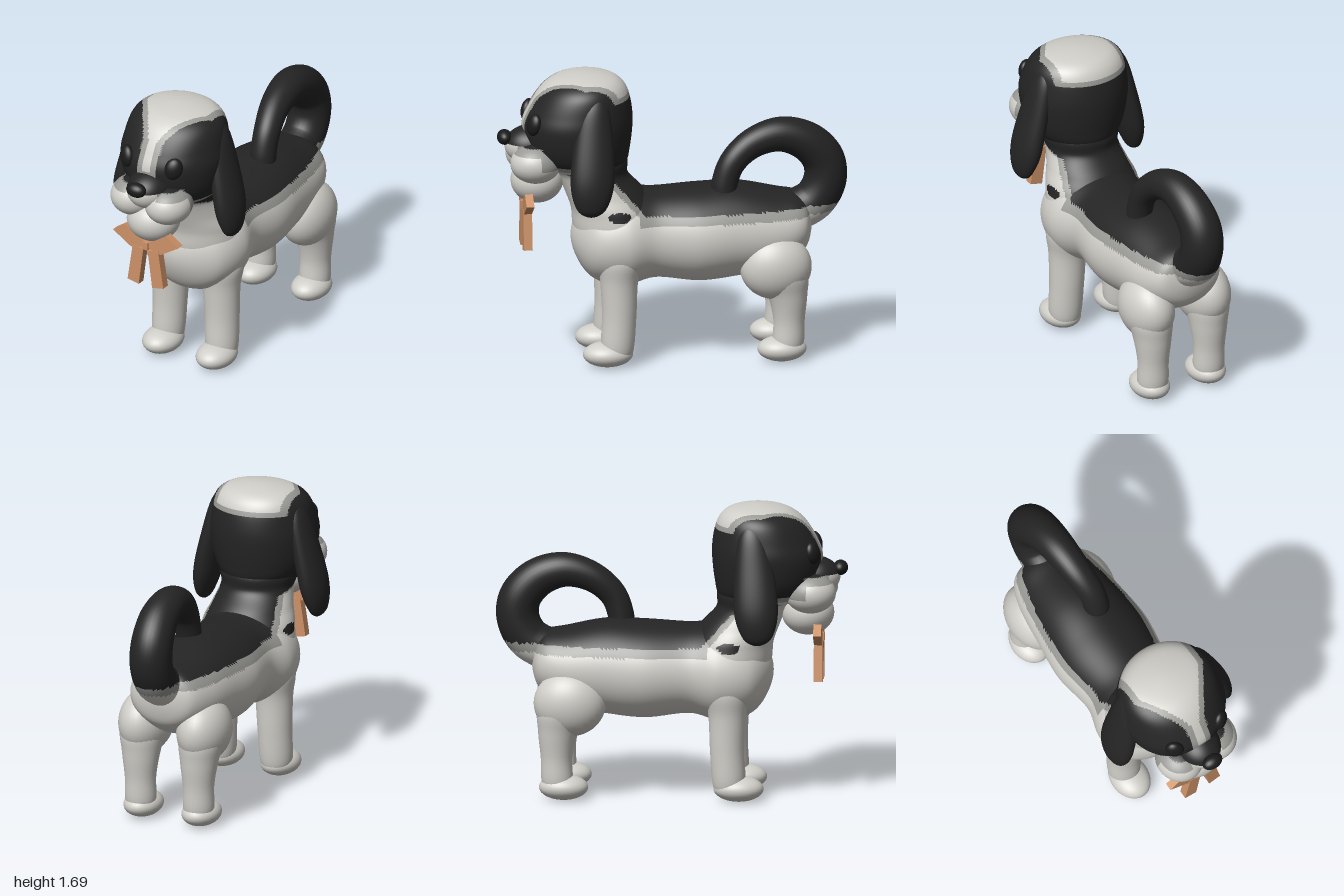
import * as THREE from 'three';

const mat = (name, color) => Object.assign(new THREE.MeshStandardMaterial({ color }), { name });
const white = mat('white fur', 0xd0cec8);
const grey = mat('grey fur', 0x989894);
const black = mat('black fur', 0x242424);
const gloss = mat('eye and nose black', 0x1b1b1b);
const tan = mat('tan ribbon', 0xcd9268);
const COAT = [white, grey, black];
const W = 0, G = 1, B = 2;

// Smooth closed form through elliptical sections [x, y, z, radiusX, radiusOther], along y or z.
function loft(sections, axis, rows = 64, sides = 56) {
  const centres = new THREE.CatmullRomCurve3(sections.map(s => new THREE.Vector3(s[0], s[1], s[2])), false, 'catmullrom');
  const radii = new THREE.CatmullRomCurve3(sections.map(s => new THREE.Vector3(s[3] ** 2, s[4] ** 2, 0)), false, 'catmullrom');
  const pos = [], idx = [];
  for (let i = 0; i <= rows; i++) {
    const t = (1 - Math.cos(Math.PI * i / rows)) / 2;
    const c = centres.getPoint(t), r = radii.getPoint(t);
    const a = Math.sqrt(Math.max(0, r.x)), b = Math.sqrt(Math.max(0, r.y));
    for (let j = 0; j < sides; j++) {
      const th = j / sides * Math.PI * 2, u = a * Math.cos(th), v = b * Math.sin(th);
      if (axis === 'y') pos.push(c.x + u, c.y, c.z + v);
      else pos.push(c.x + u, c.y - v, c.z);
      if (i < rows) {
        const p = i * sides + j, q = i * sides + (j + 1) % sides;
        idx.push(p, p + sides, q, q, p + sides, q + sides);
      }
    }
  }
  const g = new THREE.BufferGeometry();
  g.setAttribute('position', new THREE.Float32BufferAttribute(pos, 3));
  g.setIndex(idx);
  g.computeVertexNormals();
  return g;
}

function ellipsoid(x, y, z, rx, ry, rz, seg = 32) {
  return new THREE.SphereGeometry(1, seg, Math.round(seg * 0.7)).scale(rx, ry, rz).translate(x, y, z);
}

// Sorts the faces into coat colours by the position of their centres.
function paint(g, rule) {
  const p = g.attributes.position, src = g.index.array, bins = [[], [], []];
  for (let i = 0; i < src.length; i += 3) {
    const [a, b, c] = [src[i], src[i + 1], src[i + 2]];
    const mid = k => (p[k](a) + p[k](b) + p[k](c)) / 3;
    bins[rule(Math.abs(mid('getX')), mid('getY'), mid('getZ'))].push(a, b, c);
  }
  g.setIndex(bins.flat());
  g.clearGroups();
  let start = 0;
  bins.forEach((bin, m) => {
    if (bin.length) g.addGroup(start, bin.length, m);
    start += bin.length;
  });
  return g;
}

// Dark saddle, grey border and shoulder spot
function bodyCoat(x, y, z) {
  if (((z - 0.33) / 0.065) ** 2 + ((y - 0.9) / 0.03) ** 2 < 1) return B;
  const edge = 0.17 + Math.max(0, y - 0.89) * 0.9 + Math.max(0, y - 1.08) * 4;
  if (z < edge && y > 0.89) return B;
  return z < edge + 0.04 && y > 0.84 ? G : W;
}

// Dark mask, pale crown with a blaze, pale muzzle
function headCoat(x, y, z) {
  const taper = THREE.MathUtils.clamp((z - 0.52) / 0.26, 0, 1);
  const half = 0.235 - 0.17 * taper;
  const floor = z > 0.6 ? 1.37 : z > 0.4 ? 1.6 : 1.56;
  if (y > floor && x < half) return x < half - 0.035 && y > floor + 0.03 ? W : G;
  if ((y < 1.3 && z > 0.76 && x < 0.25) || (y < 1.19 && z > 0.5)) {
    return (y < 1.26 && z > 0.8) || y < 1.16 ? W : G;
  }
  return B;
}

function muzzleCoat(x, y, z) {
  if (y > 1.3) return B;
  if ((y > 1.26 && x > 0.1) || (y > 1.18 && z < 0.77)) return G;
  return W;
}

const tailCoat = (x, y) => (y > 0.89 ? B : y > 0.84 ? G : W);

// Curled tail with a changing thickness
function tailGeometry() {
  const path = new THREE.CatmullRomCurve3([
    [0, 0.82, -0.68], [0, 0.9, -0.82], [0, 1.02, -0.88], [0, 1.14, -0.865], [0.01, 1.245, -0.77],
    [0.02, 1.293, -0.62], [0.035, 1.25, -0.46], [0.055, 1.15, -0.345], [0.06, 1.04, -0.3], [0.06, 0.93, -0.29],
  ].map(p => new THREE.Vector3(...p)));
  const rings = 110, sides = 32, g = new THREE.TubeGeometry(path, rings, 1, sides);
  const p = g.attributes.position, v = new THREE.Vector3();
  for (let i = 0; i <= rings; i++) {
    const t = i / rings, c = path.getPointAt(t);
    const r = 0.122 - 0.047 * THREE.MathUtils.smoothstep(t, 0.25, 0.9);
    for (let j = 0; j <= sides; j++) {
      const k = i * (sides + 1) + j;
      v.fromBufferAttribute(p, k).sub(c).multiplyScalar(r).add(c);
      p.setXYZ(k, v.x, v.y, v.z);
    }
  }
  return g;
}

// Flat ribbon piece from an outline
function ribbon(points, z, depth) {
  const shape = new THREE.Shape(points.map(p => new THREE.Vector2(...p)));
  return new THREE.ExtrudeGeometry(shape, { depth, bevelEnabled: false }).translate(0, 0, z);
}

export function createModel() {
  const dog = new THREE.Group();
  dog.name = 'dog';
  const add = (name, geometry, material) => {
    const m = new THREE.Mesh(geometry, material);
    m.name = name;
    dog.add(m);
    return m;
  };

  // Trunk and neck
  add('body', paint(loft([
    [0, 0.77, -0.8, 0, 0], [0, 0.77, -0.74, 0.2, 0.17], [0, 0.745, -0.6, 0.255, 0.228],
    [0, 0.745, -0.37, 0.285, 0.272], [0, 0.733, -0.15, 0.305, 0.28], [0, 0.74, 0.1, 0.275, 0.26],
    [0, 0.725, 0.28, 0.315, 0.285], [0, 0.72, 0.45, 0.27, 0.235], [0, 0.73, 0.575, 0, 0],
  ], 'z', 130, 96), bodyCoat), COAT);
  add('neck', paint(loft([
    [0, 0.6, 0.3, 0, 0], [0, 0.75, 0.31, 0.27, 0.24], [0, 0.9, 0.335, 0.27, 0.24], [0, 1.0, 0.385, 0.235, 0.225],
    [0, 1.1, 0.45, 0.21, 0.2], [0, 1.2, 0.48, 0.22, 0.22], [0, 1.35, 0.48, 0, 0],
  ], 'y', 90, 80), bodyCoat), COAT);
  add('tail', paint(tailGeometry(), tailCoat), COAT);

  // Head and muzzle
  add('head', paint(loft([
    [0, 1.1, 0.5, 0, 0], [0, 1.16, 0.51, 0.22, 0.24], [0, 1.26, 0.535, 0.285, 0.295], [0, 1.4, 0.54, 0.31, 0.315],
    [0, 1.5, 0.525, 0.3, 0.295], [0, 1.6, 0.505, 0.275, 0.25], [0, 1.66, 0.49, 0.215, 0.185], [0, 1.695, 0.48, 0, 0],
  ], 'y', 110, 110), headCoat), COAT);
  add('snout bridge', paint(ellipsoid(0, 1.28, 0.8, 0.13, 0.115, 0.155, 48), muzzleCoat), COAT);
  add('chin', ellipsoid(0, 1.07, 0.77, 0.155, 0.13, 0.15), white);
  add('nose', ellipsoid(0, 1.328, 0.955, 0.062, 0.043, 0.043), gloss);

  for (const [s, side] of [[1, 'left'], [-1, 'right']]) {
    add(side + ' muzzle lobe', paint(ellipsoid(s * 0.115, 1.2, 0.79, 0.135, 0.115, 0.145, 48), muzzleCoat), COAT);
    add(side + ' eye', ellipsoid(0, 0, 0, 0.052, 0.065, 0.035), gloss)
      .position.set(s * 0.157, 1.44, 0.805);
    dog.children.at(-1).rotation.set(-0.15, s * 0.5, -s * 0.2);
    add(side + ' ear', loft([
      [s * 0.36, 0.94, 0.5, 0, 0], [s * 0.36, 0.99, 0.5, 0.045, 0.085], [s * 0.345, 1.09, 0.495, 0.068, 0.12],
      [s * 0.325, 1.2, 0.49, 0.072, 0.125], [s * 0.285, 1.38, 0.48, 0.065, 0.11],
      [s * 0.25, 1.53, 0.47, 0.055, 0.085], [s * 0.23, 1.63, 0.46, 0, 0],
    ], 'y', 40, 32), black);

    // Legs and paws
    add(side + ' front leg', loft([
      [s * 0.18, 0.02, 0.32, 0, 0], [s * 0.18, 0.1, 0.33, 0.092, 0.092], [s * 0.175, 0.3, 0.32, 0.1, 0.098],
      [s * 0.17, 0.5, 0.32, 0.11, 0.108], [s * 0.165, 0.65, 0.31, 0.13, 0.13], [s * 0.16, 0.78, 0.3, 0, 0],
    ], 'y', 40, 32), white);
    add(side + ' front paw', ellipsoid(s * 0.18, 0.075, 0.385, 0.11, 0.073, 0.143), white);
    add(side + ' hind leg', loft([
      [s * 0.185, 0.02, -0.64, 0, 0], [s * 0.185, 0.1, -0.645, 0.088, 0.088], [s * 0.185, 0.25, -0.65, 0.09, 0.09],
      [s * 0.185, 0.4, -0.64, 0.11, 0.115], [s * 0.185, 0.55, -0.6, 0.13, 0.15], [s * 0.16, 0.7, -0.55, 0, 0],
    ], 'y', 40, 32), white);
    add(side + ' hind paw', ellipsoid(s * 0.185, 0.075, -0.61, 0.108, 0.073, 0.14), white);
    add(side + ' thigh', ellipsoid(s * 0.185, 0.56, -0.575, 0.148, 0.19, 0.205), white);

    // Bow loop and hanging ribbon end
    const mirror = pts => pts.map(([x, y]) => [s * x, y]);
    add(side + ' bow loop', ribbon(mirror([[0, 0.92], [0.1, 0.895], [0.22, 0.97], [0.14, 1.025], [0.01, 0.945]]), 0.81, 0.045), tan);
    add(side + ' bow end', ribbon(mirror([[0.015, 0.9], [0.085, 0.915], [0.12, 0.685], [0.045, 0.67]]), 0.808, 0.05), tan);
  }
  add('bow knot', new THREE.BoxGeometry(0.035, 0.045, 0.06).translate(0, 0.927, 0.835), tan);
  return dog;
}
